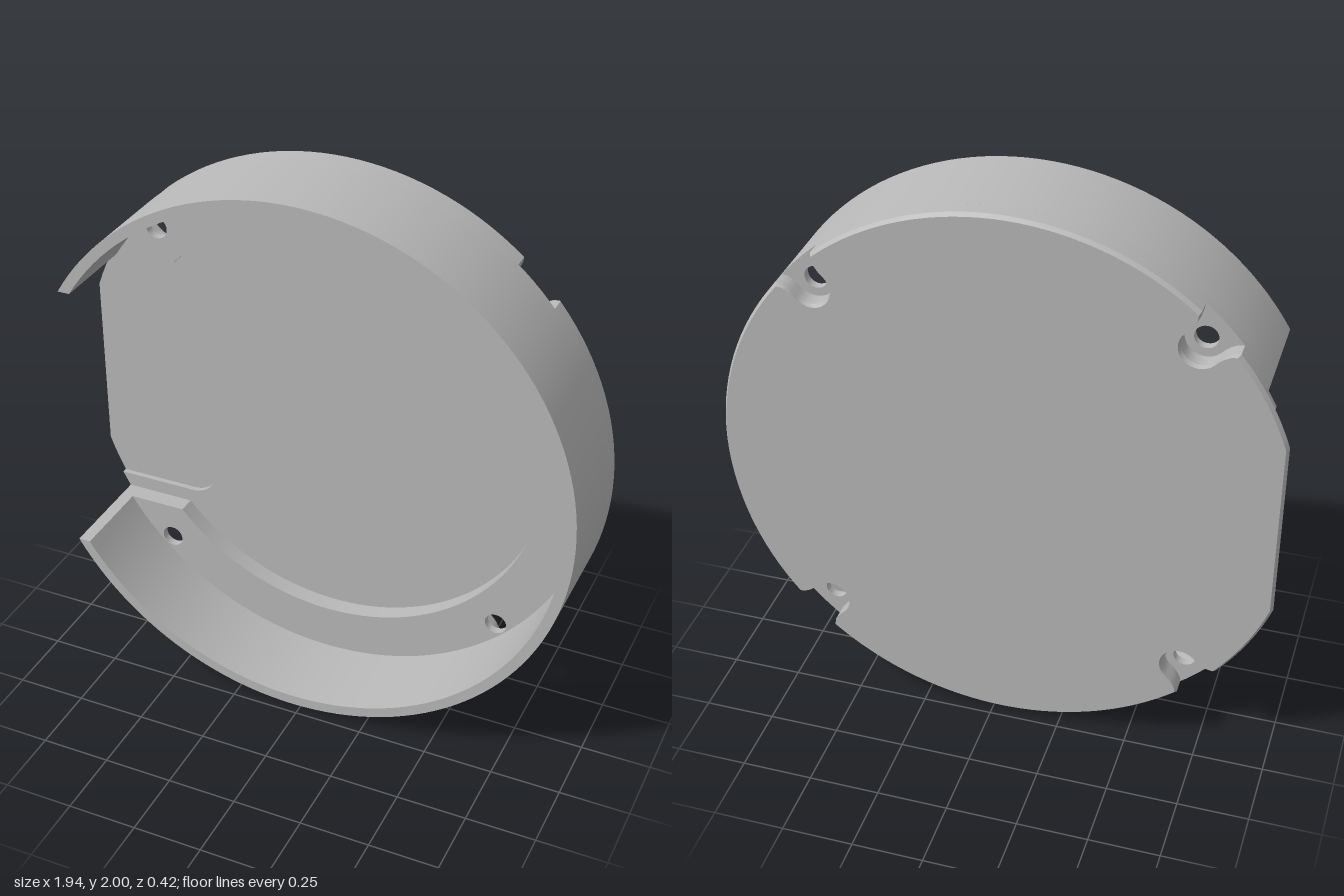
import * as THREE from 'three';
import { toCreasedNormals } from 'three/addons/utils/BufferGeometryUtils.js';

const V = (x, y) => new THREE.Vector2(x, y);

// Points on a circle around the housing axis, from angle a to angle b
function arc(r, a, b, cx = 0, cy = 0) {
  const n = Math.max(3, Math.ceil(Math.abs(b - a) / 0.045));
  return Array.from({ length: n + 1 }, (_, i) => {
    const t = a + ((b - a) * i) / n;
    return V(cx + r * Math.cos(t), cy + r * Math.sin(t));
  });
}

const SCREW_R = 0.917;
const SCREW_ANGLES = [-3, -1, 1, 3].map((k) => (k * Math.PI) / 4);

// Flared U-shaped screw pocket, open to the rim
function pocket(t) {
  const flare = [[0.9958, 0.092], [0.98, 0.08], [0.96, 0.073], [0.94, 0.07]];
  const uv = flare.map(([u, v]) => [u, -v]);
  for (let i = 0; i <= 14; i++) {
    const s = -Math.PI / 2 + (Math.PI * i) / 14;
    uv.push([SCREW_R - 0.07 * Math.cos(s), 0.07 * Math.sin(s)]);
  }
  uv.push(...flare.reverse());
  const c = Math.cos(t), s = Math.sin(t);
  return uv.map(([u, v]) => V(u * c - v * s, u * s + v * c));
}

// Outer rim from -end to +end, broken by the screw pockets
function notchedRim(end) {
  const half = Math.asin(0.092);
  const pts = [];
  let from = -end;
  for (const t of SCREW_ANGLES) {
    pts.push(...arc(1, from, t - half).slice(0, -1), ...pocket(t));
    from = t + half + 0.002;
  }
  return pts.concat(arc(1, from, end));
}

export function createModel() {
  const grey = new THREE.MeshStandardMaterial({ color: 0xb8b8b8 });
  grey.name = 'plain grey';
  const model = new THREE.Group();
  model.name = 'roundHousing';
  const body = new THREE.Group();
  body.name = 'housingBody';
  body.position.set(-0.03, 1, 0);
  model.add(body);

  // One slab of the housing between two depths
  function slab(name, points, z0, z1, holes = [], backScale = 1) {
    const shape = new THREE.Shape(points);
    shape.holes = holes.map((h) => new THREE.Path(h));
    const geo = new THREE.ExtrudeGeometry(shape, { depth: z1 - z0, bevelEnabled: false });
    const p = geo.attributes.position;
    for (let i = 0; i < p.count; i++) {
      // pull in the back edge for a chamfer
      if (p.getZ(i) < 1e-6) p.setXY(i, p.getX(i) * backScale, p.getY(i) * backScale);
    }
    geo.translate(0, 0, z0);
    const mesh = new THREE.Mesh(toCreasedNormals(geo, 0.4), grey);
    mesh.name = name;
    body.add(mesh);
  }

  // Thin back skin with a flat on one side
  slab('backSkin', notchedRim(Math.PI - Math.acos(0.945)), -0.21, -0.195, [], 0.99);

  // Floor with a rounded shallow recess open to the flat side
  const floorEnd = Math.PI - Math.asin(0.46);
  slab('floor', [
    ...notchedRim(floorEnd),
    ...arc(0.1, Math.PI / 2, 0, -0.59, 0.36),
    ...arc(0.1, 0, -Math.PI / 2, -0.59, -0.36),
  ], -0.195, -0.175);

  // Raised ledge around the floor, cut away at the side opening
  const cut = 0.512;
  const endAt = (r) => Math.PI - Math.asin(cut / r);
  const ledgeInner = arc(0.79, endAt(0.79), -endAt(0.79));
  slab('lowerLedge', [...notchedRim(endAt(1)), ...ledgeInner], -0.175, -0.14);

  // Upper ledge carries the screw holes
  const holes = SCREW_ANGLES.map((t) =>
    arc(0.04, 0, Math.PI * 2, SCREW_R * Math.cos(t), SCREW_R * Math.sin(t))
      .filter((_, i) => i % 5 === 0).slice(0, -1));
  slab('screwLedge', [...arc(1, -endAt(1), endAt(1)), ...ledgeInner], -0.14, -0.11, holes);

  // Open curved side wall
  slab('sideWall', [
    ...arc(1, -endAt(1), endAt(1)),
    ...arc(0.962, endAt(0.962), -endAt(0.962)),
  ], -0.11, 0.21);

  return model;
}
